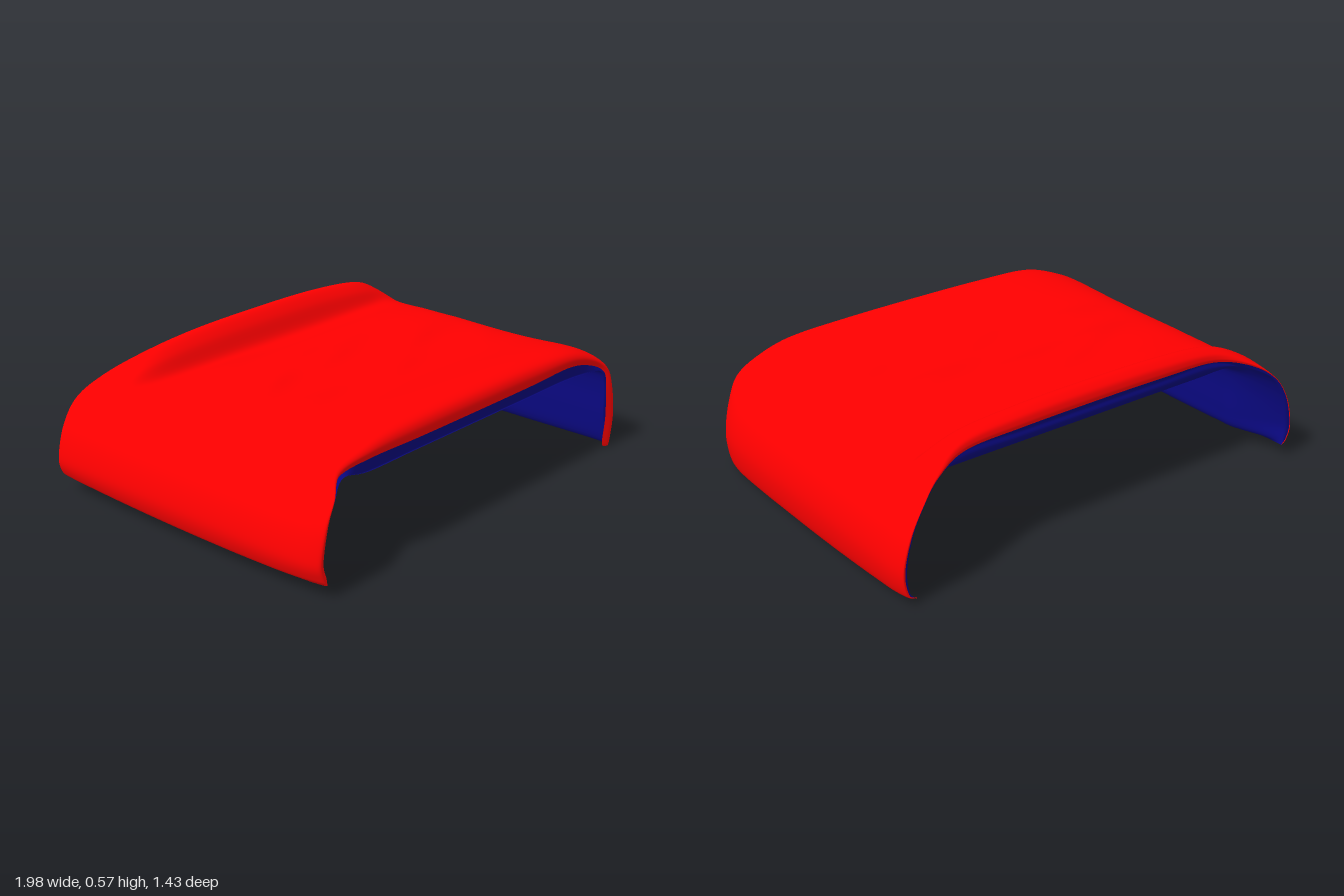
import * as THREE from 'three';

// Rows from front to back: z on top, top height, z on the flaps, flap inset, underside height
const ROWS = [
  [0.655, 0.43, 0.685, 0.13, 0.4], [0.668, 0.475, 0.69, 0.085, 0.38], [0.645, 0.512, 0.67, 0.055, 0.375],
  [0.58, 0.525, 0.61, 0.025, 0.375], [0.48, 0.51, 0.5, 0.005, 0.375], [0.3, 0.47, 0.3, 0, 0.375],
  [0.15, 0.457, 0.15, 0, 0.375], [0, 0.463, 0, 0, 0.375], [-0.1, 0.47, -0.1, 0, 0.375],
  [-0.2, 0.464, -0.2, 0, 0.375], [-0.3, 0.463, -0.3, 0, 0.375], [-0.4, 0.447, -0.4, 0, 0.375],
  [-0.46, 0.458, -0.48, 0, 0.375], [-0.5, 0.535, -0.55, 0, 0.38], [-0.55, 0.577, -0.62, 0, 0.415],
  [-0.595, 0.558, -0.68, 0.005, 0.455], [-0.607, 0.53, -0.708, 0.012, 0.485], [-0.605, 0.508, -0.708, 0.022, 0.508],
];
const INSET_WEIGHT = [0, 0, 0, 0.1, 0.35, 0.8, 1, 1, 0.5];

// Soft folds on the top: x, z, length, width, angle, height
const FOLDS = [
  [-0.4, -0.36, 0.2, 0.06, 0.1, 0.014], [-0.15, -0.19, 0.18, 0.06, 0.25, 0.012],
  [-0.42, -0.06, 0.16, 0.06, 0.3, 0.014], [0.0, -0.12, 0.2, 0.06, 0.3, 0.012],
  [0.38, 0.0, 0.18, 0.06, 0.2, 0.015], [-0.45, 0.17, 0.18, 0.06, 0.05, 0.015],
  [0.05, 0.18, 0.2, 0.06, 0.3, 0.011], [0.6, 0.2, 0.2, 0.07, 0.3, 0.009],
  [0.35, -0.3, 0.3, 0.07, 0.1, 0.008],
];

const { smoothstep: smooth, lerp, clamp } = THREE.MathUtils;

// Height of the flap hem on either side
function hem(side, z) {
  return side > 0 ? 0.003 + 0.05 * z * z * (z < 0 ? 1 : 0.3) : 0.042 + 0.03 * z * z;
}

// The front end of the right-hand flap reaches a little further forward
function flapEnd(z, side) {
  return side < 0 ? z + 0.027 * smooth(z, 0.45, 0.67) : z;
}

// Half cross-section of the outer cover, from the middle of the top to the hem
function outerHalf([z, h, zEnd, inset], side) {
  const e = h - 0.45, zFlap = flapEnd(zEnd, side), low = hem(side, zFlap);
  const pull = inset * (side > 0 ? 1 : 0.4);
  const pts = [
    [0, h], [0.35, 0.45 + e * 0.95], [0.62, 0.45 + e * 0.74], [0.78, 0.437 + e * 0.34], [0.885, 0.385 + e * 0.05],
    [0.955, 0.28], [0.99, 0.15], [0.975, low + 0.025], [side > 0 ? 0.93 : 0.945, low],
  ];
  const start = z < 0 ? 0.62 : side > 0 ? 0.7 : 0.74;
  // The front edge dips back beside the right-hand flap
  const dip = side < 0 ? 0.025 * smooth(z, 0.4, 0.6) : 0;
  return pts.map(([x, y], i) => new THREE.Vector3(
    side * (x - pull * INSET_WEIGHT[i]),
    y - (i > 2 && i < 5 ? inset * 0.2 : 0),
    lerp(z, zFlap, smooth(x, start, 0.95)) - (i === 3 ? dip : 0)));
}

// Half cross-section of the lining: flat below the top, straight down the flaps
function innerHalf(row, side, k) {
  const outer = outerHalf(row, side);
  if (k === 0 || k === ROWS.length - 1) return outer;
  const [z, , zEnd, , u] = row, zFlap = flapEnd(zEnd, side), low = hem(side, zFlap);
  // Flaps thin out toward a sharp edge, except where the left flap curls in at the front
  const thin = side > 0 && zFlap > 0 ? 0 : clamp((Math.abs(zFlap) - 0.5) / 0.25, 0, 1);
  const pts = [
    [0, u], [0.35, u], [0.62, u], [0.77, Math.min(u, 0.41)], [0.825, 0.36],
    [0.845, 0.28], [0.85, 0.15], [0.865, low + 0.03],
  ];
  const [start, end] = z < 0 ? [0.68, 0.9] : [0.66, 0.84];
  return pts.map(([x, y], i) => {
    const p = new THREE.Vector3(side * x, y, lerp(
      clamp(z, -0.592, 0.635), clamp(zFlap, -0.69, 0.68), smooth(x, start, end)));
    return i > 2 ? p.lerp(outer[i], thin * (i === 3 ? 0.6 : 1)) : p;
  }).concat(outer[8]);
}

// Smooth sheet through the cross-sections
function loft(half, flip, finish) {
  const nu = 112, nv = 102;
  const spline = (pts, n) => new THREE.CatmullRomCurve3(pts, false, 'catmullrom', 0.5).getPoints(n);
  const sections = ROWS.map((row, k) =>
    spline([...half(row, -1, k).reverse(), ...half(row, 1, k).slice(1)], nu));
  const pos = [], index = [];
  for (let j = 0; j <= nu; j++) {
    for (const p of spline(sections.map(s => s[j]), nv)) {
      if (finish) finish(p);
      pos.push(p.x, p.y, p.z);
    }
  }
  for (let j = 0; j < nu; j++) {
    for (let i = 0; i < nv; i++) {
      const a = j * (nv + 1) + i, b = a + nv + 1, c = b + 1, d = a + 1;
      if (flip) index.push(a, c, b, a, d, c);
      else index.push(a, b, c, a, c, d);
    }
  }
  const geo = new THREE.BufferGeometry();
  geo.setAttribute('position', new THREE.Float32BufferAttribute(pos, 3));
  geo.setIndex(index);
  geo.computeVertexNormals();
  return geo;
}

// Raise the soft folds, fading out toward the edges
function addFolds(p) {
  const fade = (1 - smooth(Math.abs(p.x), 0.65, 0.85)) * (1 - smooth(Math.abs(p.z), 0.4, 0.5));
  for (const [x, z, len, wid, ang, h] of FOLDS) {
    const dx = p.x - x, dz = p.z - z, c = Math.cos(ang), s = Math.sin(ang);
    const along = (dx * c - dz * s) / len, across = (dx * s + dz * c) / wid;
    p.y += fade * h * Math.exp(-along * along - across * across);
  }
}

export function createModel() {
  const group = new THREE.Group();
  group.name = 'blanket';
  const add = (name, geo, color) => {
    const mesh = new THREE.Mesh(geo, new THREE.MeshStandardMaterial({ color }));
    mesh.name = name;
    group.add(mesh);
  };
  add('outerCover', loft(outerHalf, false, addFolds), 0xff0000);
  add('innerLining', loft(innerHalf, true), 0x0a0880);
  return group;
}
